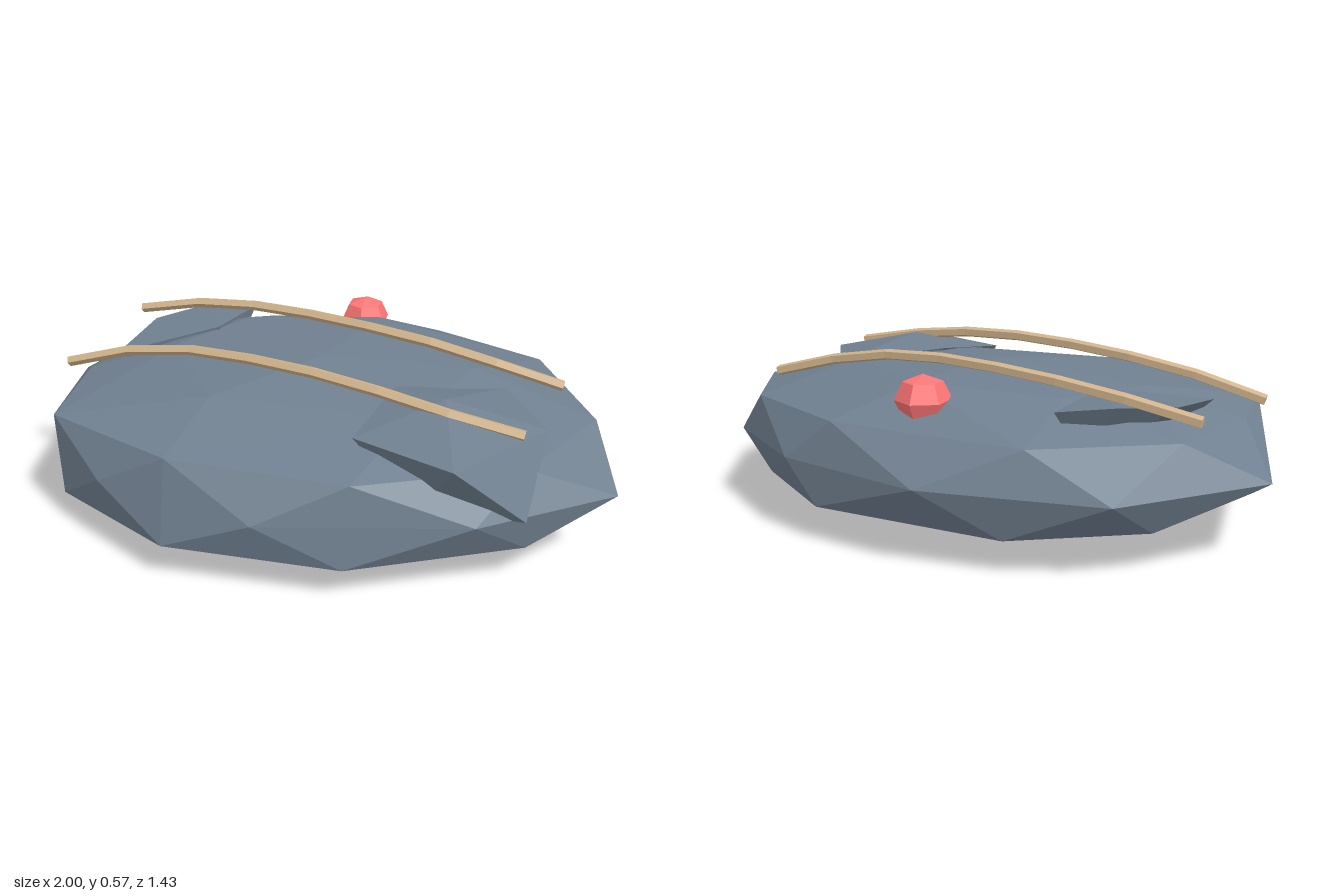
import * as THREE from 'three';
import { ConvexGeometry } from 'three/addons/geometries/ConvexGeometry.js';

const stone = new THREE.MeshStandardMaterial({ color: 0x708090, flatShading: true });
const rope = new THREE.MeshStandardMaterial({ color: 0xd2b48c, flatShading: true });
const coral = new THREE.MeshStandardMaterial({ color: 0xff7676, flatShading: true });

const toVectors = (points) => points.map((p) => new THREE.Vector3(...p));

function addMesh(group, name, geometry, material) {
  const mesh = new THREE.Mesh(geometry, material);
  mesh.name = name;
  group.add(mesh);
  return mesh;
}

// A faceted stone is the hull of its corners.
function addStone(group, name, corners) {
  return addMesh(group, name, new ConvexGeometry(toVectors(corners)), stone);
}

// A strand runs in even steps along x, given its heights and its z positions.
function addStrand(group, name, startX, step, heights, depths) {
  const points = heights.map((y, i) => [startX + step * i, y, depths[i]]);
  const curve = new THREE.CatmullRomCurve3(toVectors(points));
  const strand = addMesh(group, name, new THREE.TubeGeometry(curve, 7, 0.019, 5), rope);
  // Flat ends close the strand.
  [0, 1].forEach((t) => {
    const cap = addMesh(group, name + 'End', new THREE.CircleGeometry(0.018, 5), rope);
    cap.position.copy(curve.getPointAt(t));
    cap.lookAt(cap.position.clone().addScaledVector(curve.getTangentAt(t), t ? 1 : -1));
  });
  return strand;
}

export function createModel() {
  const model = new THREE.Group();
  model.name = 'boulderWithStrands';

  // Broad flattened boulder: crown, shoulder, waist, lower ring and base.
  const crown = [
    [0, 0.52, 0], [0.5, 0.49, -0.08], [-0.55, 0.48, -0.05], [0.1, 0.505, -0.41],
    [-0.38, 0.485, -0.34], [0.35, 0.475, 0.32], [-0.3, 0.48, 0.33],
  ];
  const shoulder = [
    [0.91, 0.385, 0], [0.69, 0.405, -0.4], [0.3, 0.4, -0.59], [-0.36, 0.39, -0.61],
    [-0.76, 0.39, -0.36], [-0.86, 0.385, 0.02], [-0.82, 0.385, 0.4], [-0.35, 0.4, 0.62],
    [0.23, 0.385, 0.62], [0.72, 0.38, 0.38],
  ];
  const waist = [
    [1, 0.26, 0.26], [0.82, 0.26, -0.33], [0.48, 0.26, -0.58], [-0.05, 0.26, -0.72],
    [-0.63, 0.25, -0.61], [-1, 0.26, -0.23], [-0.6, 0.26, 0.57], [-0.05, 0.26, 0.715],
    [0.6, 0.26, 0.56],
  ];
  const lower = [
    [0.84, 0.11, 0], [0.74, 0.13, 0.42], [0.22, 0.12, 0.67], [-0.35, 0.13, 0.69],
    [-0.8, 0.105, 0.42], [-0.9, 0.15, 0], [-0.7, 0.13, -0.44], [-0.3, 0.11, -0.63],
    [0.35, 0.12, -0.61], [0.66, 0.14, -0.4],
  ];
  const base = [
    [-0.05, 0, 0], [0.38, 0.05, 0.15], [-0.63, 0.01, 0], [-0.3, 0.015, 0.41],
    [0.2, 0.025, 0.4], [-0.3, 0.04, -0.33], [0.3, 0.05, -0.33],
  ];
  addStone(model, 'boulder', [...crown, ...shoulder, ...waist, ...lower, ...base]);

  // Smaller stone bulging from the front left corner.
  addStone(model, 'frontStone', [
    [0.53, 0.46, 0.6], [0.74, 0.26, 0.49], [0.77, 0.455, 0.25], [0.61, 0.455, -0.02],
    [0.27, 0.5, 0.15], [0.2, 0.46, 0.46], [0.45, 0.527, 0.26], [0.7, 0.24, 0.15],
    [0.4, 0.24, 0.45], [0.45, 0.22, 0.2],
  ]);

  // Sunken stone whose edges just break the surface at the back right.
  addStone(model, 'backStone', [
    [-0.76, 0.445, 0], [-0.72, 0.475, -0.27], [-0.57, 0.49, -0.42], [-0.4, 0.475, -0.48],
    [-0.45, 0.495, -0.2], [-0.6, 0.3, -0.15], [-0.45, 0.3, -0.35],
  ]);

  // Two arched strands laid across the top.
  addStrand(model, 'frontStrand', -0.905, 0.23,
    [0.435, 0.5, 0.535, 0.55, 0.553, 0.54, 0.51, 0.468],
    [0.09, 0.085, 0.11, 0.165, 0.225, 0.285, 0.33, 0.335]);
  addStrand(model, 'backStrand', -0.82, 0.23,
    [0.465, 0.51, 0.535, 0.545, 0.545, 0.53, 0.49, 0.43],
    [-0.385, -0.38, -0.34, -0.28, -0.215, -0.165, -0.135, -0.14]);

  // Faceted ball resting near the back edge.
  const ball = addMesh(model, 'ball', new THREE.SphereGeometry(0.09, 6, 4), coral);
  ball.scale.y = 0.9;
  ball.rotation.y = Math.PI / 2;
  ball.position.set(0.03, 0.472, -0.48);

  return model;
}
